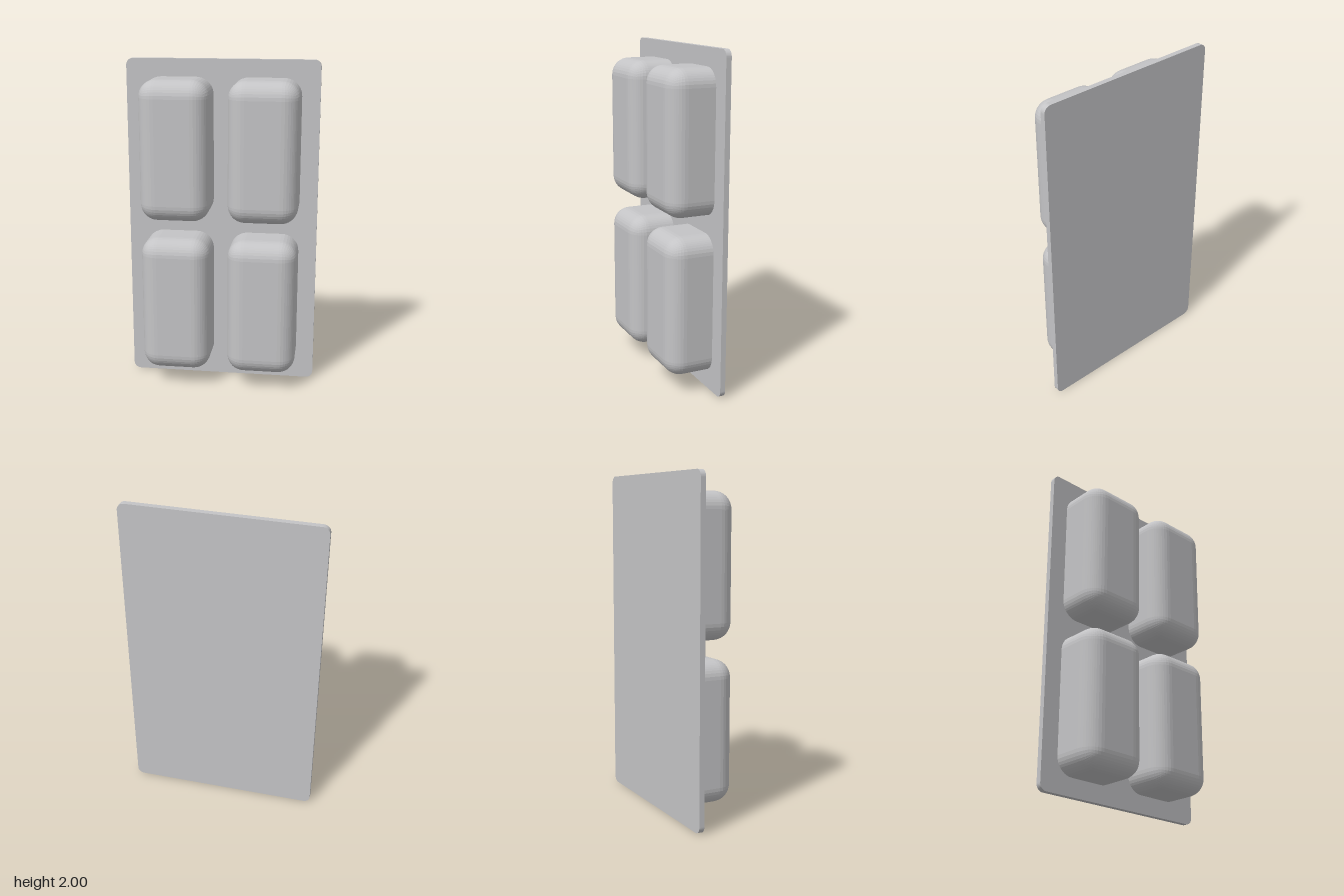
import * as THREE from 'three';
import { RoundedBoxGeometry } from 'three/addons/geometries/RoundedBoxGeometry.js';

const grey = new THREE.MeshStandardMaterial({ name: 'light grey', color: 0xc4c4c6 });
grey.flatShading = true;

// Thin plate with small rounded corners
function plateGeometry(w, h, depth, r) {
  const x = w / 2 - r, y = h / 2 - r;
  const s = new THREE.Shape();
  s.absarc(x, y, r, 0, Math.PI / 2);
  s.absarc(-x, y, r, Math.PI / 2, Math.PI);
  s.absarc(-x, -y, r, Math.PI, Math.PI * 1.5);
  s.absarc(x, -y, r, Math.PI * 1.5, Math.PI * 2);
  return new THREE.ExtrudeGeometry(s, { depth, bevelEnabled: false, curveSegments: 5 });
}

// Block rounded at the front, cut flat at the back where it sits in the plate
function blockGeometry(w, h, front, back, r) {
  const depth = front - back + r;
  const geo = new RoundedBoxGeometry(w, h, depth, 5, r);
  geo.translate(0, 0, front - depth / 2);
  const p = geo.attributes.position;
  for (let i = 0; i < p.count; i++) p.setZ(i, Math.max(p.getZ(i), back));
  geo.computeVertexNormals();
  return geo;
}

export function createModel() {
  const model = new THREE.Group();
  model.name = 'mouldPanel';

  const plate = new THREE.Mesh(plateGeometry(1.158, 2, 0.032, 0.042), grey);
  plate.name = 'backPlate';
  plate.position.set(0, 1, -0.15);
  model.add(plate);

  // Two by two grid of blocks
  const block = blockGeometry(0.418, 0.838, 0.149, -0.135, 0.104);
  for (const [row, y] of [['lower', 0.527], ['upper', 1.475]]) {
    for (const [side, x] of [['Left', 0.262], ['Right', -0.262]]) {
      const mesh = new THREE.Mesh(block, grey);
      mesh.name = row + side + 'Block';
      mesh.position.set(x, y, 0);
      model.add(mesh);
    }
  }
  return model;
}
